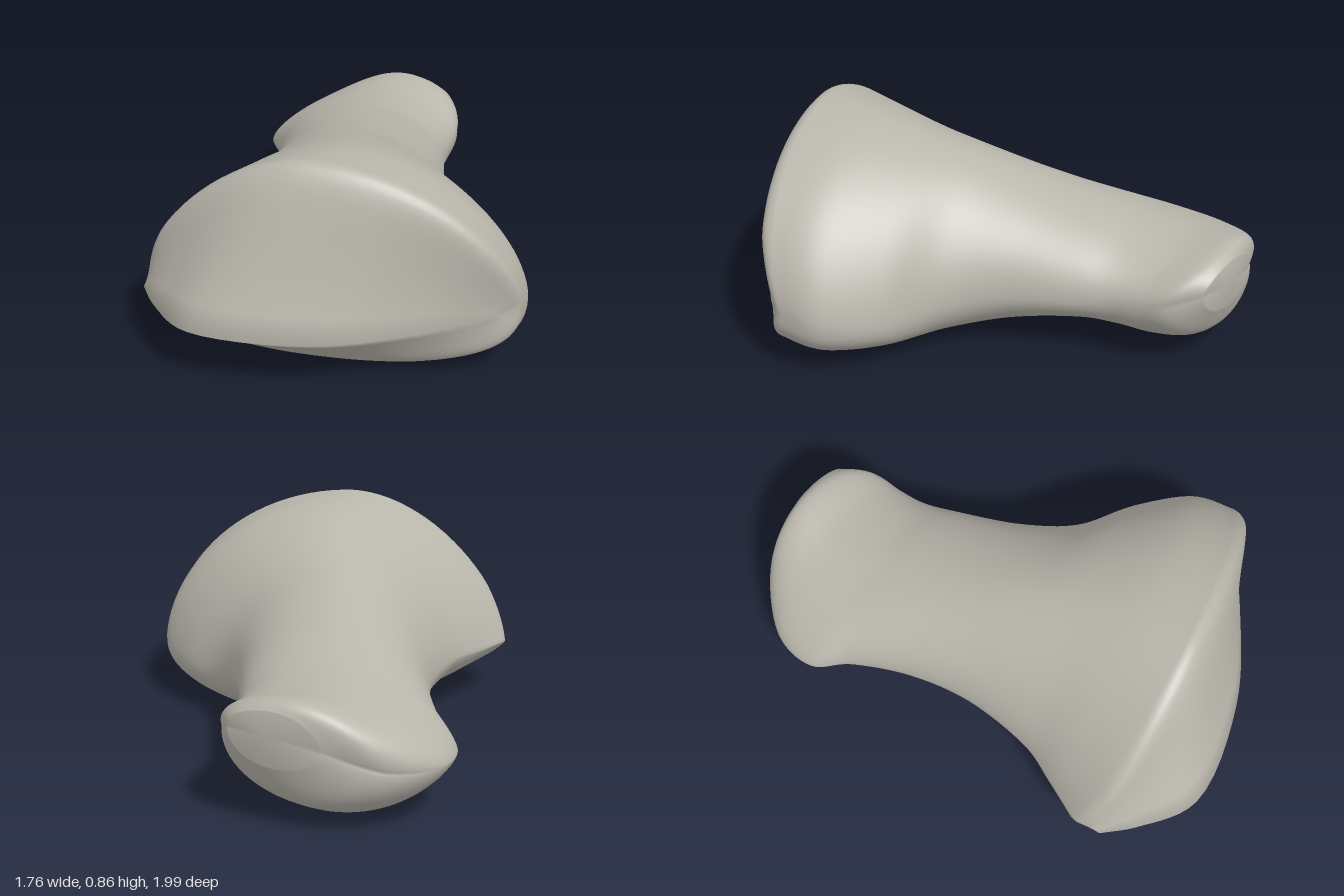
import * as THREE from 'three';
import { mergeVertices } from 'three/addons/utils/BufferGeometryUtils.js';

// Cross-sections from the small rear end to the rim of the broad front joint.
// left x,z | right x,z | height of left, right, top, bottom | position of top, bottom
// across the width | slackness of left, upper right, lower right | forward bulge
const SECTIONS = [
  [-0.57, -0.94, -0.23, -0.985, 0.33, 0.37, 0.455, 0.25, 0.5, 0.45, 1.0, 1.0, 1.0, -0.02],
  [-0.76, -0.81, -0.13, -0.88, 0.25, 0.32, 0.49, 0.10, 0.5, 0.42, 1.15, 1.0, 1.0, -0.08],
  [-0.87, -0.63, -0.09, -0.77, 0.23, 0.29, 0.475, 0.035, 0.55, 0.4, 1.25, 1.0, 1.0, -0.05],
  [-0.85, -0.45, -0.05, -0.67, 0.23, 0.28, 0.49, 0.045, 0.57, 0.42, 1.25, 1.0, 1.0, 0],
  [-0.72, -0.34, 0.03, -0.55, 0.25, 0.27, 0.52, 0.09, 0.54, 0.5, 1.05, 1.0, 1.0, 0],
  [-0.57, -0.14, 0.20, -0.32, 0.27, 0.26, 0.59, 0.055, 0.5, 0.5, 1.05, 1.0, 1.0, 0],
  [-0.46, 0.10, 0.39, -0.17, 0.27, 0.23, 0.67, 0.02, 0.47, 0.5, 1.1, 1.1, 0.95, 0],
  [-0.41, 0.38, 0.62, -0.10, 0.26, 0.21, 0.755, 0.005, 0.47, 0.5, 1.17, 1.12, 0.9, 0.02],
  [-0.43, 0.56, 0.81, 0.02, 0.25, 0.24, 0.825, 0.0, 0.48, 0.48, 1.2, 1.08, 0.82, 0.08],
  [-0.455, 0.71, 0.875, 0.16, 0.25, 0.28, 0.855, 0.012, 0.47, 0.46, 1.22, 1.05, 0.8, 0.15],
];
const AROUND = 96, STEPS = 8, CAP_STEPS = 16;

// Foremost edge of the front joint
const lip = new THREE.CatmullRomCurve3([
  [-0.41, 0.215, 0.84], [-0.28, 0.22, 0.92], [-0.04, 0.235, 1.0],
  [0.36, 0.23, 0.81], [0.64, 0.245, 0.53], [0.83, 0.27, 0.28],
].map((p) => new THREE.Vector3(...p)));

// Smooth blend of every section value at position t (in section units)
function sectionAt(t) {
  const last = SECTIONS.length - 1;
  const i = Math.min(Math.floor(t), last - 1), f = t - i;
  const row = (k) => SECTIONS[Math.max(0, Math.min(last, k))];
  return row(i).map((b, k) => {
    const a = row(i - 1)[k], c = row(i + 1)[k], d = row(i + 2)[k];
    return b + 0.5 * f * (c - a + f * (2 * a - 5 * b + 4 * c - d + f * (3 * (b - c) + d - a)));
  });
}

// One closed ring: left side, over the top, right side, back underneath
function ring(section) {
  const [lx, lz, rx, rz, yL, yR, yT, yB, sT, sB, eL, eRT, eRB, bulge] = section;
  const len = Math.hypot(rx - lx, rz - lz);
  const nx = (lz - rz) / len, nz = (rx - lx) / len;
  const points = [];
  for (let j = 0; j < AROUND; j++) {
    const a = (j / AROUND) * Math.PI * 2;
    const c = Math.cos(a), s = Math.sin(a);
    const upper = s >= 0, left = c > 0;
    const mid = upper ? sT : sB, peak = upper ? yT : yB;
    const side = left ? 0 : 1, ySide = left ? yL : yR;
    const e = (left ? eL : upper ? eRT : eRB) - 1;
    const u = mid + (side - mid) * Math.pow(Math.abs(c), 1 + 0.5 * e);
    const y = ySide + (peak - ySide) * Math.pow(Math.abs(s), 1 + 1.6 * e);
    const push = bulge * Math.abs(s) * (upper ? 1 : 0.6);
    points.push(new THREE.Vector3(lx + (rx - lx) * u + nx * push, y, lz + (rz - lz) * u + nz * push));
  }
  return points;
}

function buildBone() {
  const rings = [];
  const total = (SECTIONS.length - 1) * STEPS;
  for (let i = 0; i <= total; i++) rings.push(ring(sectionAt(i / STEPS)));

  // Front joint surface: rolls over the rounded rim, then runs to the lip
  const rim = rings[total], before = rings[total - 3];
  const curves = rim.map((p, j) => {
    const a = (j / AROUND) * Math.PI * 2;
    const end = lip.getPoint(THREE.MathUtils.clamp(0.5 - 0.5 * Math.cos(a), 0, 1));
    const reach = Math.min(0.11, 0.35 * p.distanceTo(end));
    const roll = p.clone().sub(before[j]).setLength(reach).add(p);
    return new THREE.CubicBezierCurve3(p, roll, p.clone().lerp(end, 0.4), end);
  });
  for (let i = 1; i <= CAP_STEPS; i++) {
    const t = Math.pow(i / CAP_STEPS, 1.4);
    rings.push(curves.map((curve) => curve.getPoint(t)));
  }

  const positions = [], index = [];
  rings.forEach((r) => r.forEach((p) => positions.push(p.x, p.y, p.z)));
  for (let i = 0; i < rings.length - 1; i++) {
    for (let j = 0; j < AROUND; j++) {
      const k = (j + 1) % AROUND;
      const a = i * AROUND + j, b = i * AROUND + k;
      index.push(a, a + AROUND, b, b, a + AROUND, b + AROUND);
    }
  }

  // Rear end closes on a central point
  const pole = positions.length / 3;
  positions.push(-0.39, 0.37, -0.995);
  for (let j = 0; j < AROUND; j++) index.push(pole, j, (j + 1) % AROUND);

  const geometry = new THREE.BufferGeometry();
  geometry.setAttribute('position', new THREE.Float32BufferAttribute(positions, 3));
  geometry.setIndex(index);
  const merged = mergeVertices(geometry, 1e-4);
  merged.computeVertexNormals();
  return merged;
}

export function createModel() {
  const boneGrey = new THREE.MeshStandardMaterial({ color: 0xb8b5ab });
  boneGrey.name = 'boneGrey';
  const bone = new THREE.Mesh(buildBone(), boneGrey);
  bone.name = 'bone';
  const group = new THREE.Group();
  group.name = 'shortBone';
  group.add(bone);
  return group;
}
